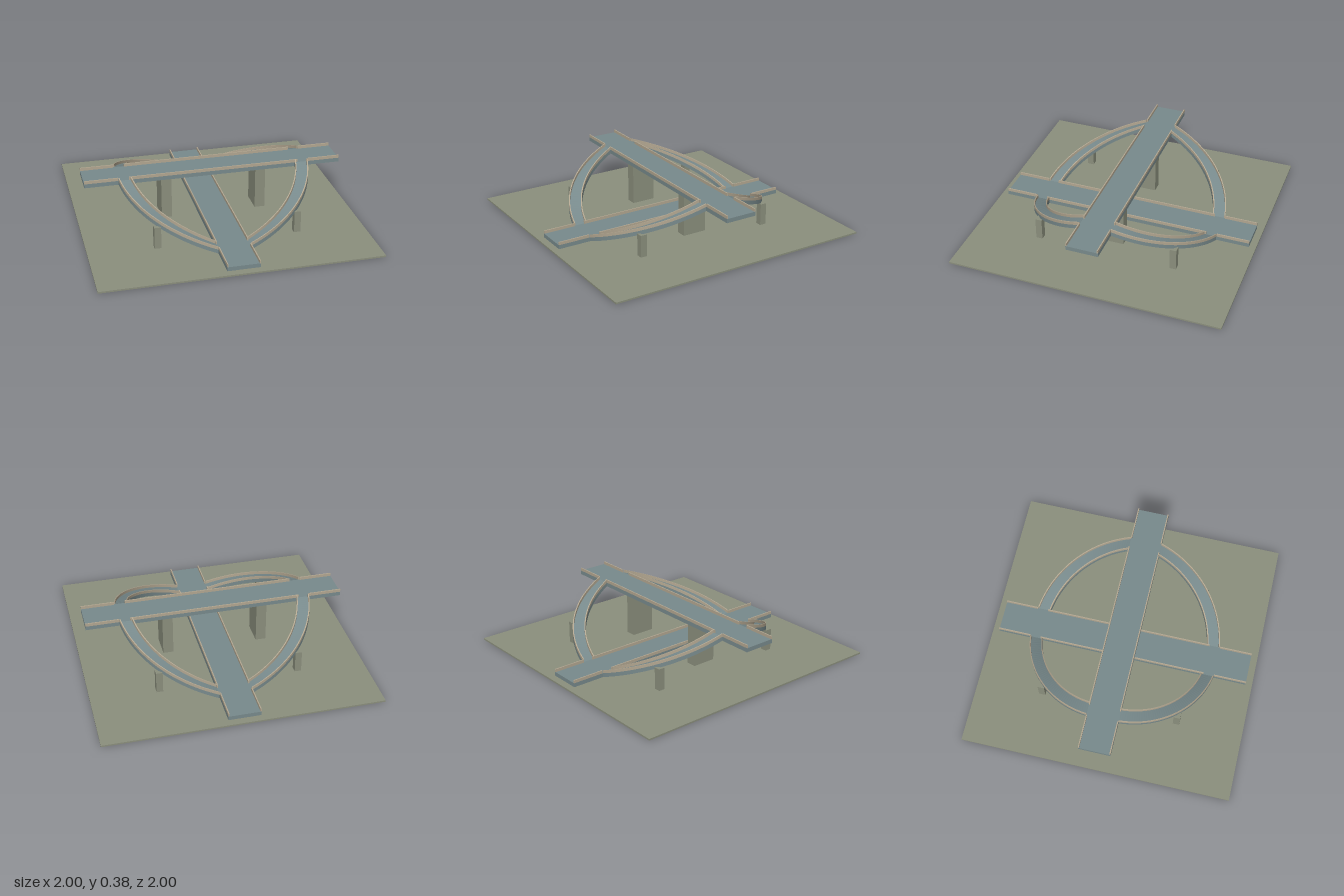
import * as THREE from 'three';

const HALF = 0.117;            // half road width
const LENGTH = 1.9;            // road length
const R_IN = 0.62, R_OUT = 0.715; // ramp radii
const WALL = 0.008, WALL_H = 0.022, SLAB = 0.03;
const LOW = 0.045, HIGH = 0.36;   // road surface heights

const concrete = new THREE.MeshStandardMaterial({ name: 'concrete', color: 0x8b8f7d });
const asphalt = new THREE.MeshStandardMaterial({ name: 'asphalt', color: 0x788a8c });
const barrier = new THREE.MeshStandardMaterial({ name: 'barrier', color: 0xb3a791 });

function box(name, material, x0, x1, y0, y1, z0, z1) {
  const mesh = new THREE.Mesh(new THREE.BoxGeometry(x1 - x0, y1 - y0, z1 - z0), material);
  mesh.position.set((x0 + x1) / 2, (y0 + y1) / 2, (z0 + z1) / 2);
  mesh.name = name;
  return mesh;
}

// Straight road along x, with gaps in its side walls where the ramps join
function road(name, top) {
  const group = new THREE.Group();
  group.name = name;
  const end = LENGTH / 2;
  group.add(box('roadSlab', asphalt, -end, end, top - SLAB, top, -HALF, HALF));
  const spans = [[-end, -R_OUT + WALL], [-R_IN - WALL, R_IN + WALL], [R_OUT - WALL, end]];
  for (const [a, b] of spans) {
    group.add(box('roadWall', barrier, a, b, top, top + WALL_H, HALF - WALL, HALF));
    group.add(box('roadWall', barrier, a, b, top, top + WALL_H, -HALF, -HALF + WALL));
  }
  return group;
}

// Rectangular section swept down a quarter circle from the upper to the lower road
function sweep(name, material, r0, r1, yBottom, yTop, sx, sz) {
  const steps = 48, pos = [], index = [];
  const corners = [[r0, yBottom], [r1, yBottom], [r1, yTop], [r0, yTop]];
  for (let i = 0; i <= steps; i++) {
    const t = i / steps;
    const y = THREE.MathUtils.lerp(HIGH, LOW, t);
    for (const [r, dy] of corners) {
      const start = Math.asin(HALF / r); // ends lie flush with the road edges
      const a = THREE.MathUtils.lerp(start, Math.PI / 2 - start, t);
      pos.push(sx * r * Math.cos(a), y + dy, sz * r * Math.sin(a));
    }
  }
  const quad = (a, b, c, d) => {
    if (sx * sz > 0) index.push(a, b, c, a, c, d);
    else index.push(a, c, b, a, d, c);
  };
  for (let i = 0; i < steps; i++) {
    for (let k = 0; k < 4; k++) {
      const n = (k + 1) % 4;
      quad(i * 4 + k, i * 4 + n, i * 4 + 4 + n, i * 4 + 4 + k);
    }
  }
  quad(3, 2, 1, 0);
  const e = steps * 4;
  quad(e, e + 1, e + 2, e + 3);
  const indexed = new THREE.BufferGeometry();
  indexed.setAttribute('position', new THREE.Float32BufferAttribute(pos, 3));
  indexed.setIndex(index);
  const geometry = indexed.toNonIndexed();
  geometry.computeVertexNormals();
  const mesh = new THREE.Mesh(geometry, material);
  mesh.name = name;
  return mesh;
}

export function createModel() {
  const model = new THREE.Group();
  model.name = 'interchange';
  model.add(box('ground', concrete, -1, 1, 0, 0.012, -1, 1));

  // Crossing roads
  model.add(road('upperRoad', HIGH));
  const lower = road('lowerRoad', LOW);
  lower.rotation.y = Math.PI / 2;
  model.add(lower);

  for (const sx of [-1, 1]) {
    // Wide piers under the upper road
    const px = sx * 0.353;
    model.add(box('bridgePier', concrete, px - 0.038, px + 0.038, 0.01, HIGH - SLAB, -0.09, 0.09));

    // Curved ramps, one in each quadrant
    for (const sz of [-1, 1]) {
      const ramp = new THREE.Group();
      ramp.name = 'ramp';
      ramp.add(sweep('rampSlab', asphalt, R_IN, R_OUT, -SLAB, 0, sx, sz));
      ramp.add(sweep('rampInnerWall', barrier, R_IN, R_IN + WALL, 0, WALL_H, sx, sz));
      ramp.add(sweep('rampOuterWall', barrier, R_OUT - WALL, R_OUT, 0, WALL_H, sx, sz));
      const cx = sx * 0.507, cz = sz * 0.509;
      ramp.add(box('rampPier', concrete, cx - 0.024, cx + 0.024, 0.01, 0.175, cz - 0.024, cz + 0.024));
      model.add(ramp);
    }
  }
  return model;
}
